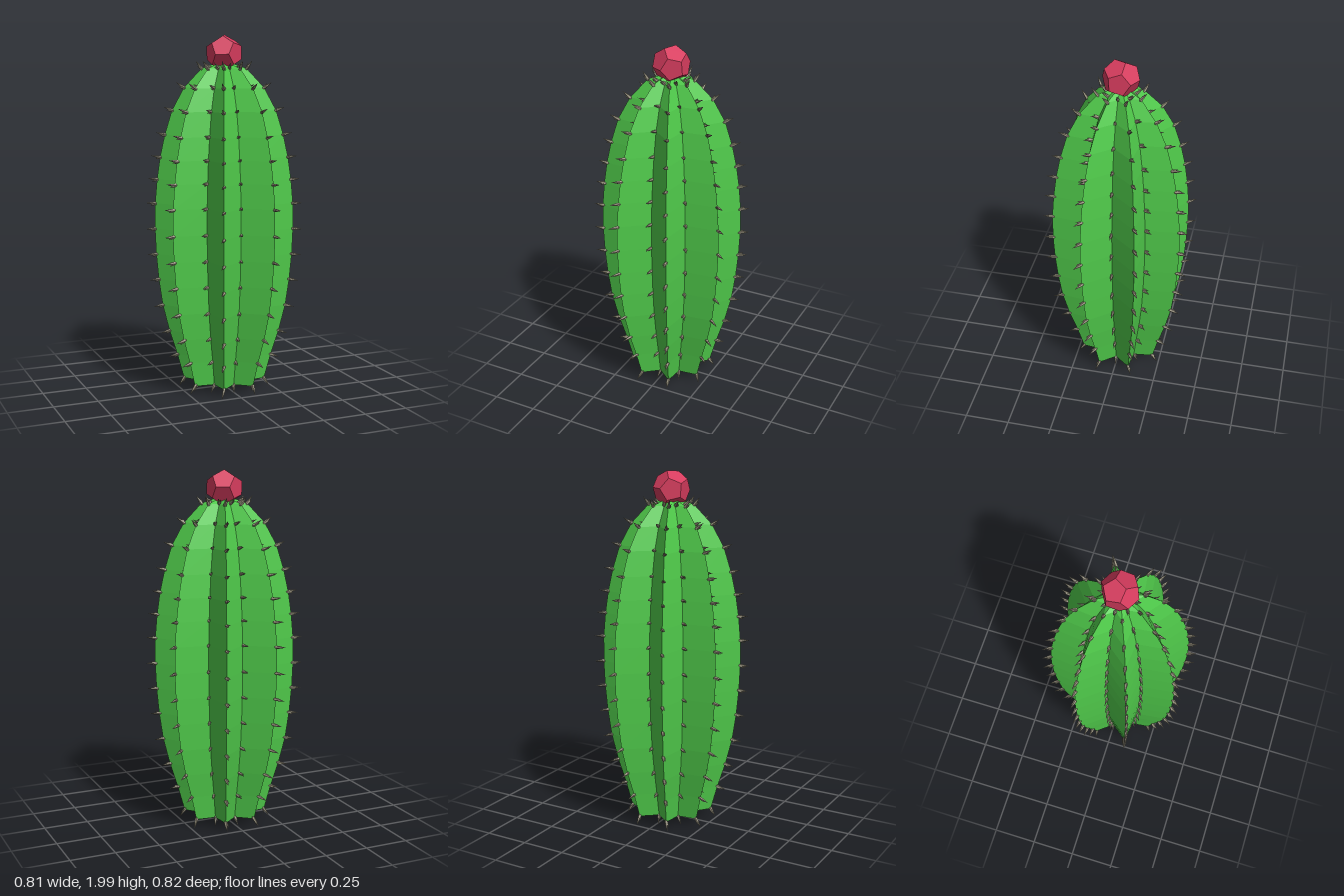
import * as THREE from 'three';
import { mergeGeometries } from 'three/addons/utils/BufferGeometryUtils.js';

const SIDES = 16;
const VALLEY = 0.62; // valley radius relative to ridge radius
// [ridge radius, height] of each ring, bottom to top
const RINGS = [
  [0.23, 0.05], [0.268, 0.19], [0.312, 0.33], [0.349, 0.48], [0.37, 0.63],
  [0.383, 0.775], [0.389, 0.92], [0.387, 1.065], [0.375, 1.2], [0.357, 1.325],
  [0.33, 1.45], [0.289, 1.585], [0.222, 1.71], [0.125, 1.815],
];

const angleOf = (j) => (j * Math.PI * 2) / SIDES;
const ribScale = (j) => (j % 2 ? 1 : VALLEY);

const material = (color) => new THREE.MeshStandardMaterial({ color, flatShading: true });

// Star-shaped body: alternating ridges and valleys, closed at both ends
function bodyGeometry() {
  const rings = [[0, 0.05], ...RINGS, [0, 1.86]];
  const position = [];
  const index = [];
  for (const [r, y] of rings) {
    for (let j = 0; j < SIDES; j++) {
      const a = angleOf(j);
      const s = r * ribScale(j);
      position.push(s * Math.cos(a), y, s * Math.sin(a));
    }
  }
  for (let i = 0; i < rings.length - 1; i++) {
    for (let j = 0; j < SIDES; j++) {
      const a = i * SIDES + j;
      const b = i * SIDES + ((j + 1) % SIDES);
      const c = a + SIDES;
      const d = b + SIDES;
      if (rings[i][0] > 0) index.push(a, c, b);
      if (rings[i + 1][0] > 0) index.push(b, c, d);
    }
  }
  const geometry = new THREE.BufferGeometry();
  geometry.setAttribute('position', new THREE.Float32BufferAttribute(position, 3));
  geometry.setIndex(index);
  geometry.computeVertexNormals();
  return geometry;
}

// One thorn: a long spindle with a shorter prong beside it
function thornGeometry() {
  const spindle = (length, width) => new THREE.LatheGeometry([
    new THREE.Vector2(0, -0.022),
    new THREE.Vector2(width, -0.004),
    new THREE.Vector2(width * 0.75, length * 0.35),
    new THREE.Vector2(0, length),
  ], 5);
  const prong = spindle(0.03, 0.006);
  prong.rotateZ(0.3).translate(-0.005, 0, 0.002);
  return mergeGeometries([spindle(0.053, 0.0095), prong]);
}

// Thorns at every corner of the body, pointing away from its surface
function thornsGeometry() {
  const thorn = thornGeometry();
  const up = new THREE.Vector3(0, 1, 0);
  const one = new THREE.Vector3(1, 1, 1);
  const parts = [];
  RINGS.forEach(([r, y], i) => {
    const below = RINGS[Math.max(i - 1, 0)];
    const above = RINGS[i + 1] || [0, 1.87];
    for (let j = 0; j < SIDES; j++) {
      const a = angleOf(j);
      const s = ribScale(j);
      const tilt = i === 0 ? -1 : Math.atan2((below[0] - above[0]) * s, above[1] - below[1]);
      // slight sideways lean towards -x
      const lean = Math.abs(Math.sin(a)) < 0.01 ? 0 : 0.2 * Math.sign(Math.sin(a));
      const direction = new THREE.Vector3(
        Math.cos(a) * Math.cos(tilt) - lean * Math.sin(a),
        Math.sin(tilt),
        Math.sin(a) * Math.cos(tilt) + lean * Math.cos(a),
      ).normalize();
      const matrix = new THREE.Matrix4().compose(
        new THREE.Vector3(r * s * Math.cos(a), y, r * s * Math.sin(a)),
        new THREE.Quaternion().setFromUnitVectors(up, direction),
        one,
      );
      parts.push(thorn.clone().applyMatrix4(matrix));
    }
  });
  return mergeGeometries(parts);
}

export function createModel() {
  const group = new THREE.Group();
  group.name = 'cactus';
  const add = (name, geometry, color) => {
    const mesh = new THREE.Mesh(geometry, material(color));
    mesh.name = name;
    group.add(mesh);
    return mesh;
  };

  add('body', bodyGeometry(), 0x4fc94a);
  add('thorns', thornsGeometry(), 0x9a9480);

  // Faceted bud on the crown, one corner roughly upwards
  const bud = add('bud', new THREE.DodecahedronGeometry(0.103), 0xd63c5e);
  bud.position.y = 1.9;
  bud.quaternion.setFromUnitVectors(
    new THREE.Vector3(1, 1, 1).normalize(),
    new THREE.Vector3(0.12, 0.95, -0.25).normalize(),
  );
  return group;
}
